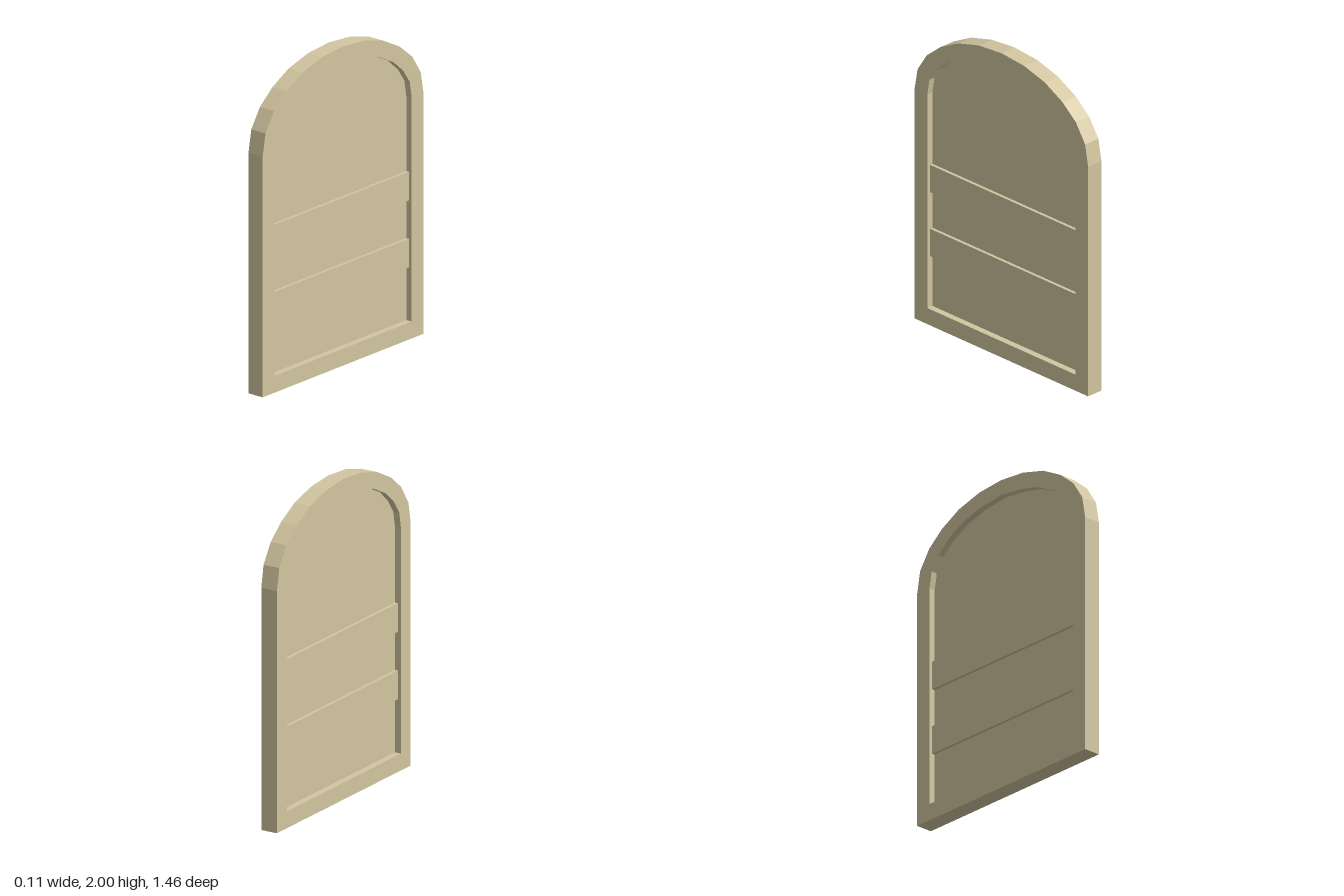
import * as THREE from 'three';

// Half profiles from the springing line up to the crown: [across, height]
const OUTER = [[0.73, 1.51], [0.705, 1.647], [0.627, 1.766], [0.514, 1.859], [0.366, 1.936], [0.189, 1.984], [0, 2]];
const INNER = [[0.623, 1.51], [0.605, 1.613], [0.546, 1.698], [0.456, 1.777], [0.324, 1.844], [0.175, 1.883], [0, 1.902]];

// Closed arched outline, counter-clockwise, mirrored about the centre
function archPoints(half, bottom) {
  const w = half[0][0];
  const left = half.slice(0, -1).reverse().map(([u, y]) => [-u, y]);
  return [[-w, bottom], [w, bottom], ...half, ...left].map(([u, y]) => new THREE.Vector2(u, y));
}

// Extrude an outline so its thickness runs along x, centred on x = 0
function slab(shape, thickness) {
  const geometry = new THREE.ExtrudeGeometry(shape, { depth: thickness, bevelEnabled: false });
  geometry.translate(0, 0, -thickness / 2);
  geometry.rotateY(Math.PI / 2);
  return geometry;
}

export function createModel() {
  const model = new THREE.Group();
  model.name = 'archedDoor';
  const material = new THREE.MeshStandardMaterial({ color: 0xd2c6a0, flatShading: true });

  const add = (name, geometry, y = 0) => {
    const mesh = new THREE.Mesh(geometry, material);
    mesh.name = name;
    mesh.position.y = y;
    model.add(mesh);
  };

  // Thick arched frame around the opening
  const frame = new THREE.Shape(archPoints(OUTER, 0));
  frame.holes.push(new THREE.Path(archPoints(INNER, 0.106)));
  add('frame', slab(frame, 0.11));

  // Thin panel recessed on both sides
  add('panel', slab(new THREE.Shape(archPoints(INNER, 0.106)), 0.026));

  // Two cross boards standing proud of the panel on both sides
  add('lowerCrossBoard', new THREE.BoxGeometry(0.066, 0.18, 1.246), 0.53);
  add('upperCrossBoard', new THREE.BoxGeometry(0.066, 0.18, 1.246), 0.95);

  return model;
}
